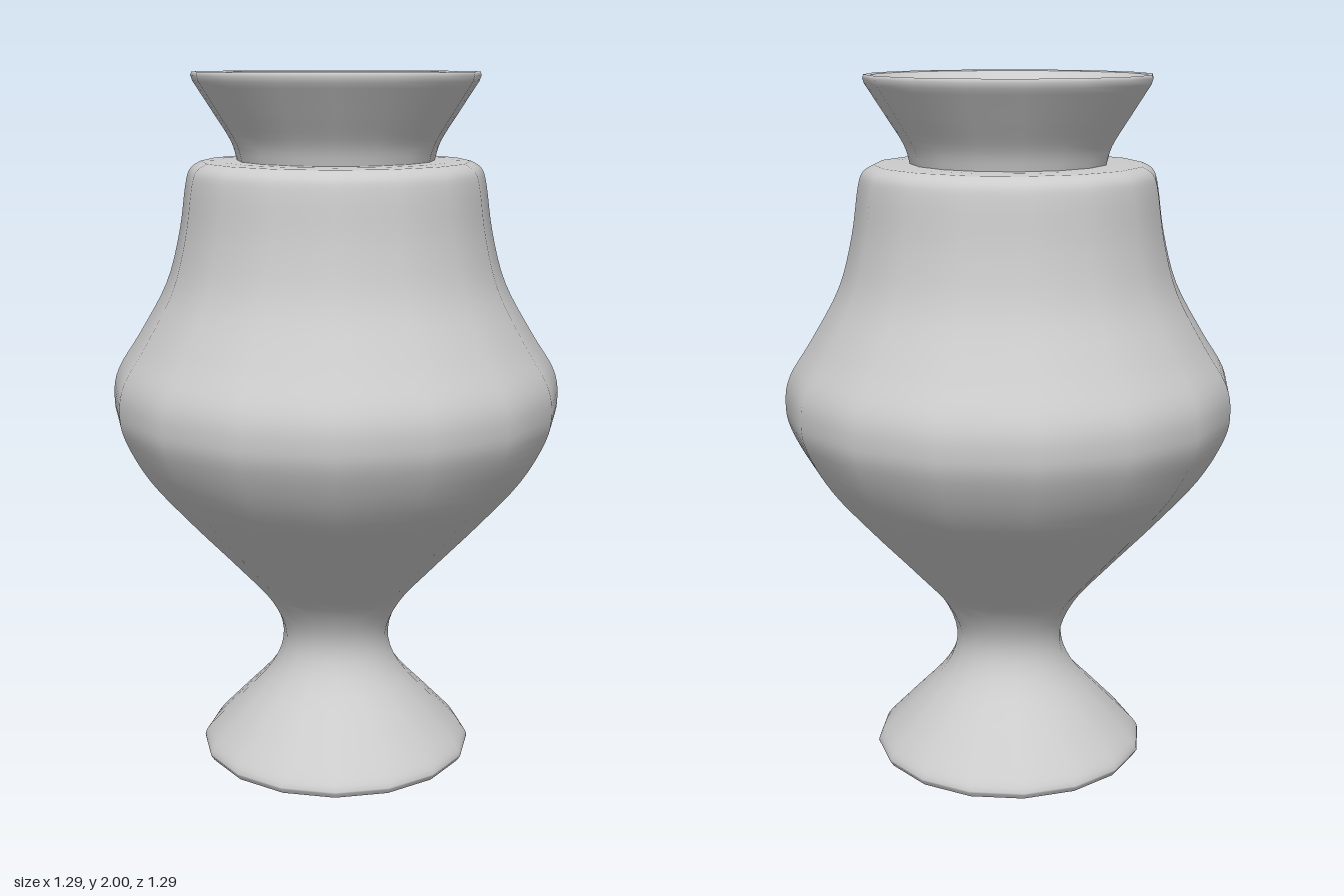
import * as THREE from 'three';

const SIDES = 16;
const material = new THREE.MeshStandardMaterial({ color: 0xcccccc, side: THREE.DoubleSide });

const toPoints = (pairs) => pairs.map(([r, y]) => new THREE.Vector2(r, y));
const smooth = (pairs, n) => new THREE.SplineCurve(toPoints(pairs)).getPoints(n);

// Turns a radius/height profile around the vertical axis.
function turned(name, points) {
  const mesh = new THREE.Mesh(new THREE.LatheGeometry(points, SIDES), material);
  mesh.name = name;
  return mesh;
}

export function createModel() {
  const vase = new THREE.Group();
  vase.name = 'vase';

  // Hollow underside of the foot
  vase.add(turned('footUnderside', toPoints([[0, 0.11], [0.2, 0.055], [0.39, 0]])));

  // Foot, stem, belly and shoulder in one flowing wall
  const wall = smooth([
    [0.4, 0.015], [0.385, 0.045], [0.3, 0.135], [0.19, 0.255], [0.157, 0.36], [0.2, 0.47],
    [0.3, 0.585], [0.44, 0.735], [0.56, 0.875], [0.63, 1.0], [0.645, 1.08], [0.63, 1.16],
    [0.565, 1.265], [0.485, 1.41], [0.445, 1.555], [0.425, 1.69], [0.41, 1.735], [0.38, 1.755],
  ], 68);
  vase.add(turned('body', [...toPoints([[0.39, 0]]), ...wall, ...toPoints([[0.33, 1.757], [0.27, 1.757]])]));

  // Flared neck with a thin rounded lip
  const flare = smooth([[0.278, 1.755], [0.295, 1.81], [0.345, 1.89], [0.4, 1.975]], 12);
  vase.add(turned('neck', [...flare, ...toPoints([[0.405, 1.99], [0.402, 2], [0.39, 1.997]])]));

  // Funnel-shaped mouth
  vase.add(turned('mouth', toPoints([[0.39, 1.997], [0.26, 1.9], [0.13, 1.81], [0, 1.72]])));

  return vase;
}
